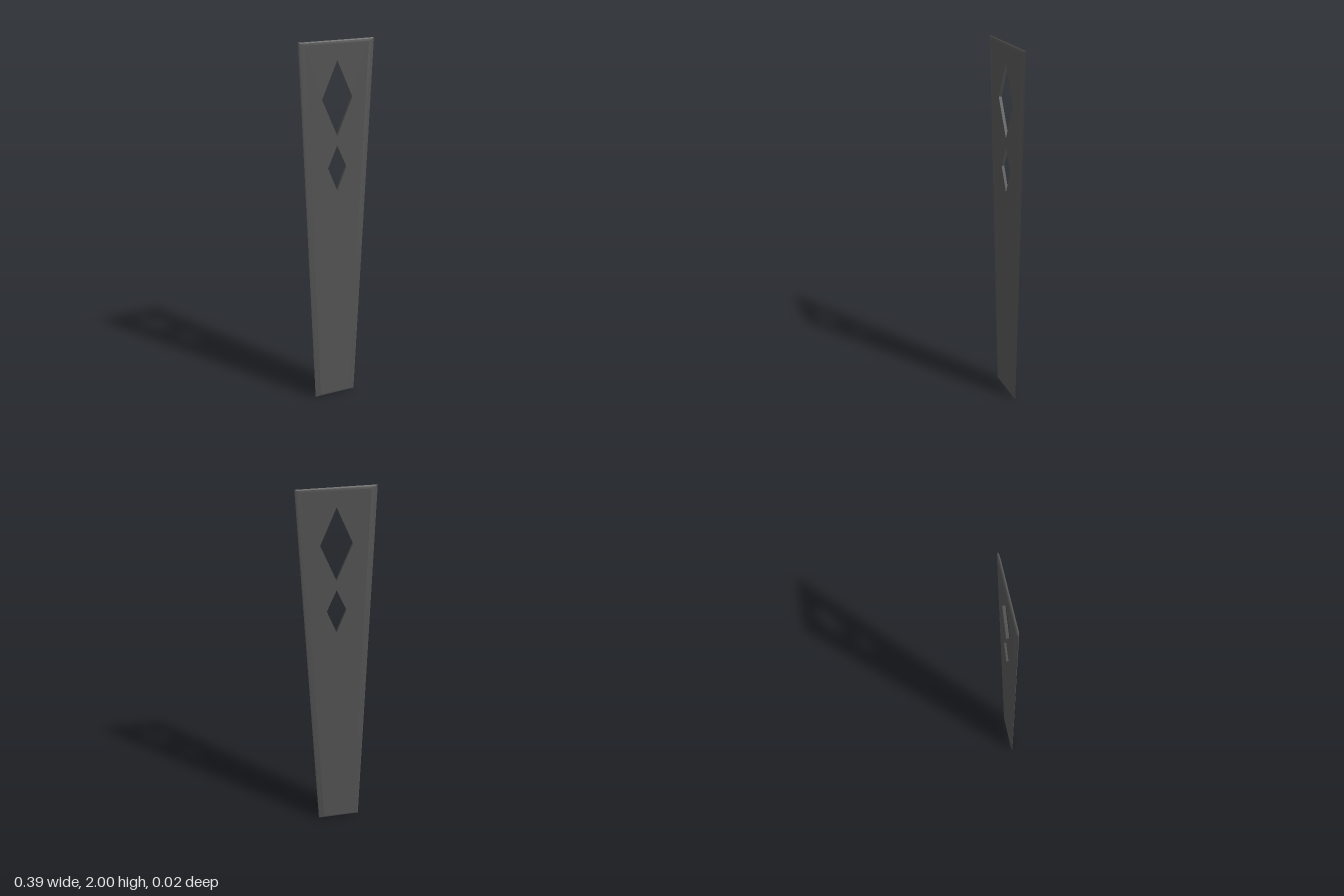
import * as THREE from 'three';
import { toCreasedNormals } from 'three/addons/utils/BufferGeometryUtils.js';

const HALF = 0.008; // half thickness at the top
// outer outline and the flat inset inside the bevel, counter-clockwise from the front
const OUTER = [[-0.13, 0], [0.105, 0], [0.195, 2], [-0.195, 2]];
const INNER = [[-0.1, 0.015], [0.075, 0.015], [0.165, 1.985], [-0.165, 1.985]];

const toPoints = (list) => list.map(([x, y]) => new THREE.Vector2(x, y));

function diamond(y0, yMid, y1, halfWidth) {
  return new THREE.Path(toPoints([[0, y0], [-halfWidth, yMid], [0, y1], [halfWidth, yMid]]));
}

// the slat gets slightly thinner towards its foot
function taper(geometry) {
  const p = geometry.attributes.position;
  for (let i = 0; i < p.count; i++) {
    p.setZ(i, p.getZ(i) * THREE.MathUtils.lerp(0.75, 1, p.getY(i) / 2));
  }
  return geometry;
}

// flat middle with two diamond cutouts
function panelGeometry() {
  const shape = new THREE.Shape(toPoints(INNER));
  shape.holes.push(diamond(1.53, 1.72, 1.905, 0.08), diamond(1.24, 1.365, 1.48, 0.05));
  const geometry = new THREE.ExtrudeGeometry(shape, { depth: 2 * HALF, bevelEnabled: false });
  geometry.translate(0, 0, -HALF);
  return taper(geometry);
}

// rounded bevel running around the outline, front to back
function rimGeometry() {
  const profile = [[1, 1], [0.35, 0.65], [0, 0], [0.35, -0.65], [1, -1]];
  const positions = [];
  const index = [];
  for (const [inset, z] of profile) {
    OUTER.forEach(([x, y], i) => positions.push(
      THREE.MathUtils.lerp(x, INNER[i][0], inset),
      THREE.MathUtils.lerp(y, INNER[i][1], inset),
      z * HALF,
    ));
  }
  for (let r = 0; r < profile.length - 1; r++) {
    for (let i = 0; i < 4; i++) {
      const a = r * 4 + i, b = a + 4;
      const d = r * 4 + (i + 1) % 4, c = d + 4;
      index.push(a, b, c, a, c, d);
    }
  }
  const geometry = new THREE.BufferGeometry();
  geometry.setAttribute('position', new THREE.Float32BufferAttribute(positions, 3));
  geometry.setIndex(index);
  return toCreasedNormals(taper(geometry), 0.6);
}

export function createModel() {
  const darkGrey = new THREE.MeshStandardMaterial({ color: 0x555555 });
  darkGrey.name = 'dark grey';

  const group = new THREE.Group();
  group.name = 'taperedSlat';
  const parts = { panel: panelGeometry(), bevelledRim: rimGeometry() };
  for (const [name, geometry] of Object.entries(parts)) {
    const mesh = new THREE.Mesh(geometry, darkGrey);
    mesh.name = name;
    group.add(mesh);
  }
  return group;
}
